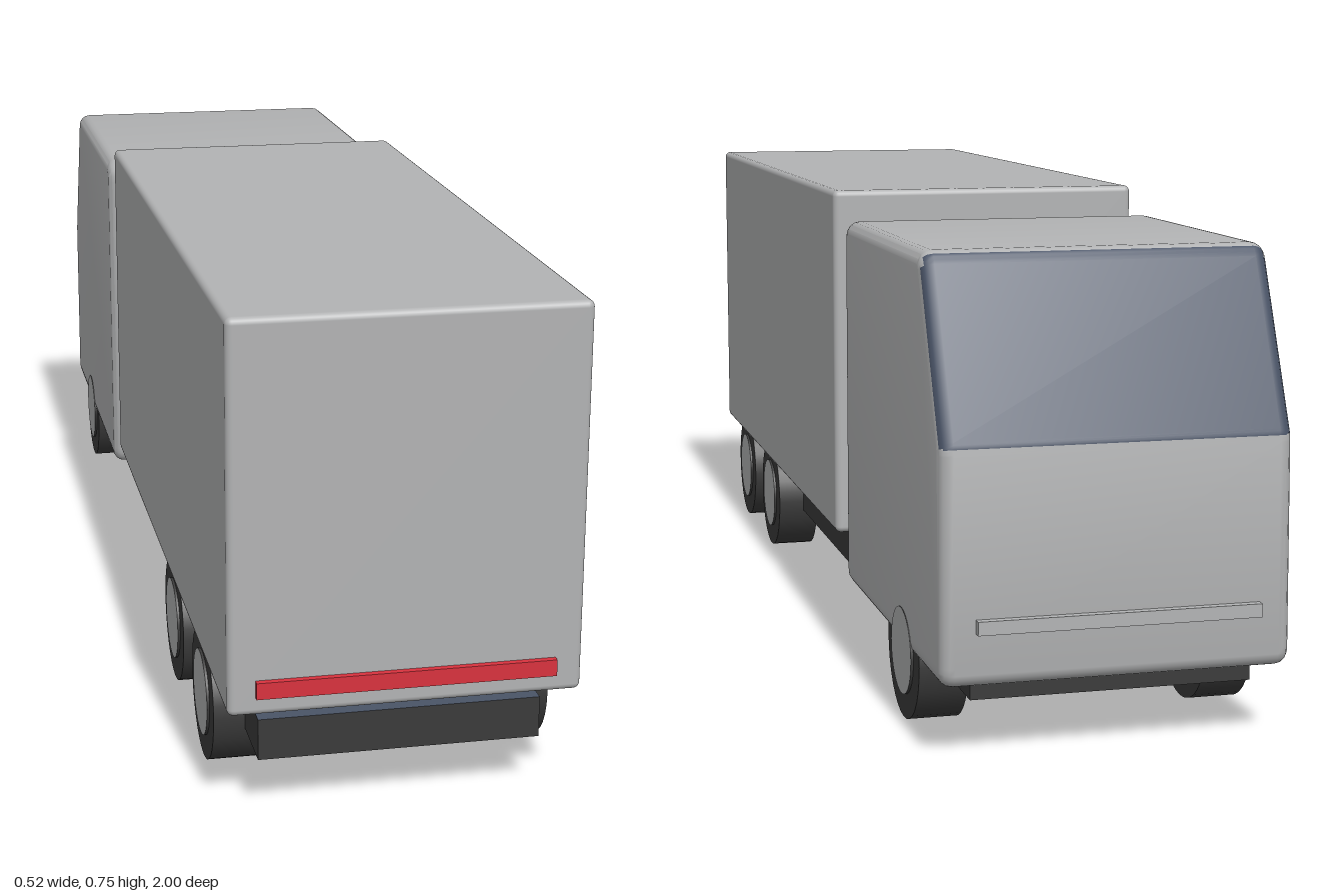
import * as THREE from 'three';
import { toCreasedNormals } from 'three/addons/utils/BufferGeometryUtils.js';
import { RoundedBoxGeometry } from 'three/addons/geometries/RoundedBoxGeometry.js';

const material = (name, color) => {
  const m = new THREE.MeshStandardMaterial({ color });
  m.name = name;
  return m;
};

// Closed side profile with rounded corners; each corner is [z, y, radius]
function roundedProfile(corners) {
  const shape = new THREE.Shape();
  const n = corners.length;
  corners.forEach(([z, y, r], i) => {
    const p = new THREE.Vector2(z, y);
    const towards = ([cz, cy]) => new THREE.Vector2(cz, cy).sub(p).setLength(r).add(p);
    const a = towards(corners[(i + n - 1) % n]);
    const b = towards(corners[(i + 1) % n]);
    if (i === 0) shape.moveTo(a.x, a.y);
    else shape.lineTo(a.x, a.y);
    shape.quadraticCurveTo(p.x, p.y, b.x, b.y);
  });
  shape.closePath();
  return shape;
}

// Sorts triangles into two material groups: 0 = body, 1 = windscreen
function paintWindscreen(geometry, sillY) {
  const pos = geometry.attributes.position;
  const body = [], glass = [];
  const tri = new THREE.Triangle(), mid = new THREE.Vector3(), normal = new THREE.Vector3();
  for (let i = 0; i < pos.count; i += 3) {
    tri.setFromAttributeAndIndices(pos, i, i + 1, i + 2);
    tri.getMidpoint(mid);
    tri.getNormal(normal);
    const list = mid.y > sillY && normal.z < -0.5 ? glass : body;
    list.push(i, i + 1, i + 2);
  }
  geometry.clearGroups();
  geometry.setIndex([...body, ...glass]);
  geometry.addGroup(0, body.length, 0);
  geometry.addGroup(body.length, glass.length, 1);
  return geometry;
}

export function createModel() {
  const truck = new THREE.Group();
  truck.name = 'boxTruck';

  const paint = material('bodyGrey', 0xb2b3b4);
  const dark = material('chassisBlack', 0x3a3a3a);
  const glass = material('windscreenBlue', 0x4a5467);
  const red = material('lightRed', 0xd8323e);

  const add = (name, geometry, mat, x, y, z, parent = truck) => {
    const mesh = new THREE.Mesh(geometry, mat);
    mesh.name = name;
    mesh.position.set(x, y, z);
    parent.add(mesh);
    return mesh;
  };

  // Chassis slab with a blue-grey deck on its top face
  add('chassis', new THREE.BoxGeometry(0.42, 0.063, 1.91),
    [dark, dark, glass, dark, dark, dark], 0, 0.1165, 0);

  // Cargo box and rear light bar
  add('cargoBox', new RoundedBoxGeometry(0.52, 0.583, 1.23, 3, 0.01), paint, 0, 0.4625, 0.375);
  add('rearLightBar', new THREE.BoxGeometry(0.44, 0.025, 0.02), red, 0, 0.2125, 0.99);

  // Cab: side profile extruded across the width, with softened edges
  const profile = roundedProfile([
    [-0.325, 0.11, 0.03],
    [-0.325, 0.713, 0.04],
    [-0.862, 0.713, 0.02],
    [-0.982, 0.45, 0.01],
    [-0.99, 0.11, 0.03],
  ]);
  const bevel = 0.02, width = 0.52;
  const cab = new THREE.ExtrudeGeometry(profile, {
    depth: width - 2 * bevel, curveSegments: 6,
    bevelEnabled: true, bevelSize: bevel, bevelThickness: bevel,
    bevelOffset: -bevel, bevelSegments: 4,
  });
  // Turn the extrusion so profile x runs along z and depth runs along x
  cab.rotateY(-Math.PI / 2);
  cab.translate(width / 2 - bevel, 0, 0);
  const cabGeometry = paintWindscreen(toCreasedNormals(cab, 0.5), 0.45);
  add('cab', cabGeometry, [paint, glass], 0, 0, 0);
  add('frontTrim', new THREE.BoxGeometry(0.42, 0.02, 0.025), paint, 0, 0.2, -0.9875);

  // Three axles with a tyre and hub on each side
  const tyre = new THREE.CylinderGeometry(0.103, 0.103, 0.074, 32).rotateZ(-Math.PI / 2);
  const hub = new THREE.CylinderGeometry(0.066, 0.066, 0.077, 32).rotateZ(-Math.PI / 2);
  [['front', -0.74], ['middle', 0.45], ['rear', 0.745]].forEach(([axle, z]) => {
    [['Left', 1], ['Right', -1]].forEach(([sideName, side]) => {
      const wheel = new THREE.Group();
      wheel.name = `${axle}${sideName}Wheel`;
      wheel.position.set(side * 0.22, 0.103, z);
      truck.add(wheel);
      add('tyre', tyre, dark, 0, 0, 0, wheel);
      add('hub', hub, [dark, paint, paint], side * 0.0025, 0, 0, wheel);
    });
  });

  return truck;
}
